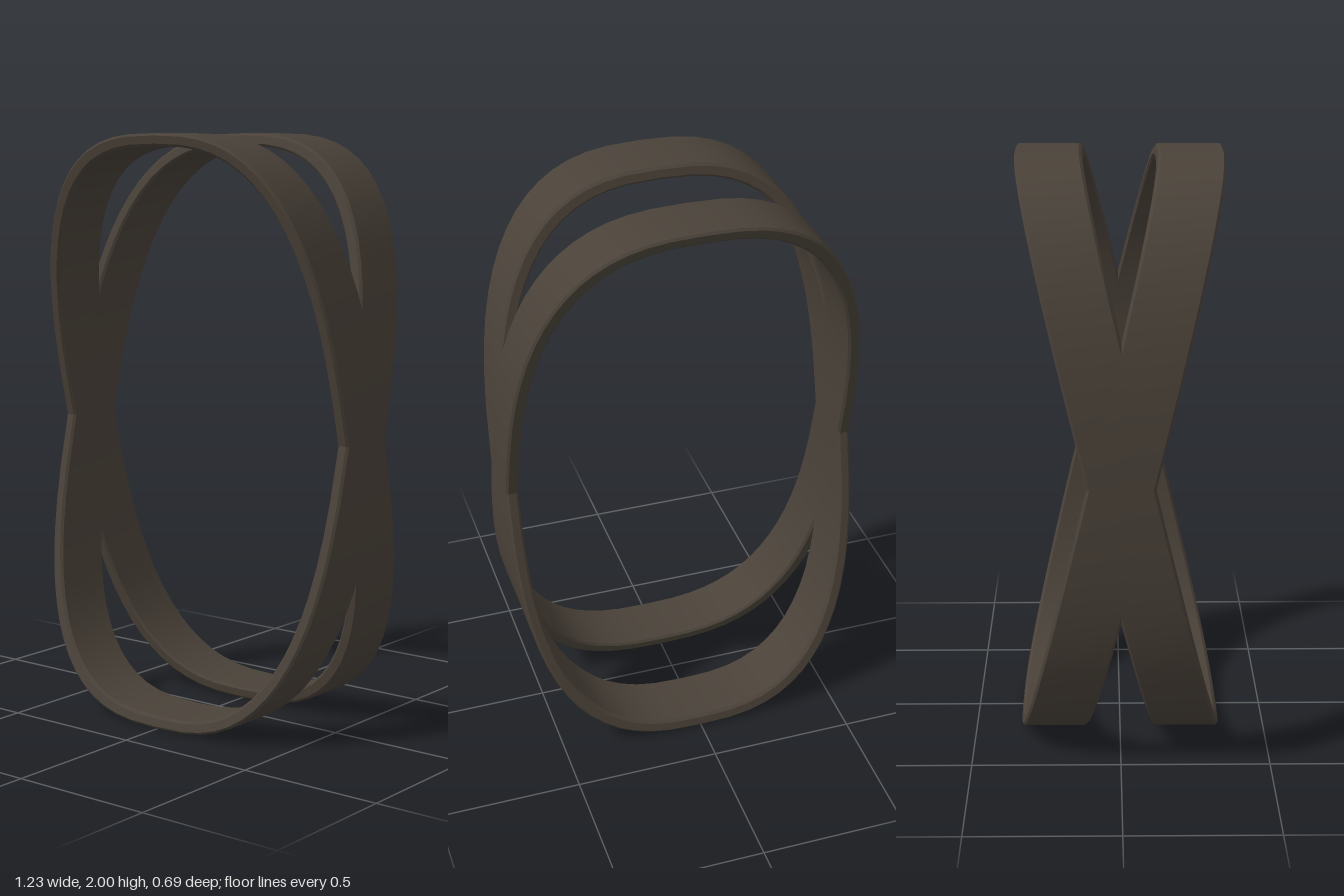
import * as THREE from 'three';
import { toCreasedNormals } from 'three/addons/utils/BufferGeometryUtils.js';

const HALF_WIDTH = 0.615, HALF_HEIGHT = 1, THICKNESS = 0.042;
const BAND_WIDTH = 0.22, BEVEL = 0.008, SLOPE = 0.237, EXPONENT = 2.75, SEGMENTS = 64;

// Rounded, squarish oval outline
function ovalPoints(a, b) {
  const points = [];
  for (let i = 0; i < SEGMENTS; i++) {
    const t = (i / SEGMENTS) * Math.PI * 2;
    const bulge = (v) => Math.sign(v) * Math.abs(v) ** (2 / EXPONENT);
    points.push(new THREE.Vector2(a * bulge(Math.cos(t)), b * bulge(Math.sin(t))));
  }
  return points;
}

// Flat hoop with chamfered rims, leaned forward or backward by shearing along z
function leaningBand(slope) {
  const shape = new THREE.Shape(ovalPoints(HALF_WIDTH, HALF_HEIGHT));
  shape.holes.push(new THREE.Path(ovalPoints(HALF_WIDTH - THICKNESS, HALF_HEIGHT - THICKNESS)));
  const geometry = new THREE.ExtrudeGeometry(shape, {
    depth: BAND_WIDTH - 2 * BEVEL,
    bevelEnabled: true,
    bevelThickness: BEVEL,
    bevelSize: BEVEL,
    bevelOffset: -BEVEL,
    bevelSegments: 1,
  });
  geometry.translate(0, 0, -BAND_WIDTH / 2 + BEVEL);
  geometry.applyMatrix4(new THREE.Matrix4().set(
    1, 0, 0, 0,
    0, 1, 0, 0,
    0, slope, 1, 0,
    0, 0, 0, 1,
  ));
  geometry.translate(0, HALF_HEIGHT, 0);
  return toCreasedNormals(geometry, 0.45);
}

export function createModel() {
  const group = new THREE.Group();
  group.name = 'crossedBands';
  const material = new THREE.MeshStandardMaterial({ color: 0x4a4239 });
  material.name = 'dark bronze';

  // Two bands crossing at mid height
  for (const [name, slope] of [['forwardLeaningBand', SLOPE], ['backwardLeaningBand', -SLOPE]]) {
    const band = new THREE.Mesh(leaningBand(slope), material);
    band.name = name;
    group.add(band);
  }
  return group;
}
